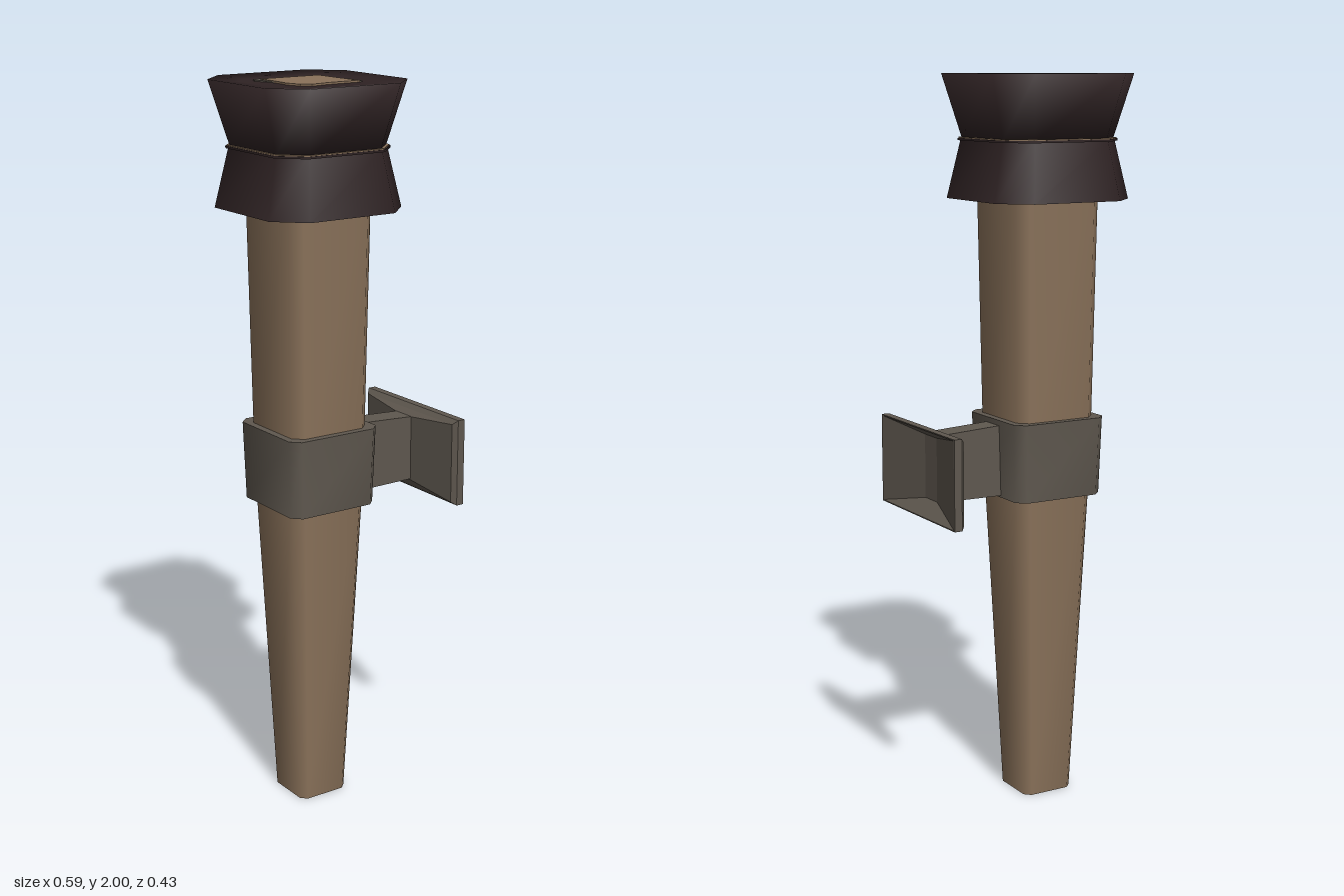
import * as THREE from 'three';
import { toCreasedNormals } from 'three/addons/utils/BufferGeometryUtils.js';

const CX = -0.08; // axis of the torch

// Skin through matching closed loops, with both ends capped
function loft(loops, crease) {
  const n = loops[0].length, index = [];
  const last = (loops.length - 1) * n;
  for (let s = 0; s < loops.length - 1; s++) {
    for (let i = 0; i < n; i++) {
      const j = (i + 1) % n, a = s * n, b = a + n;
      index.push(a + i, a + j, b + j, a + i, b + j, b + i);
    }
  }
  for (let i = 1; i < n - 1; i++) {
    index.push(0, i + 1, i, last, last + i, last + i + 1);
  }
  const geo = new THREE.BufferGeometry();
  geo.setAttribute('position', new THREE.Float32BufferAttribute(loops.flat(2), 3));
  geo.setIndex(index);
  return toCreasedNormals(geo, crease);
}

// Square with cut corners, lying level at height y
function octagon(y, h, cut) {
  const k = h - cut;
  return [[h, -k], [h, k], [k, h], [-k, h], [-h, k], [-h, -k], [-k, -h], [k, -h]]
    .map(([x, up]) => [CX + x, y, -up]);
}

// Upright rectangle facing +x
function rectX(x, y0, y1, hz) {
  return [[x, y1, -hz], [x, y1, hz], [x, y0, hz], [x, y0, -hz]];
}

// Thin level plate from [x, z] corners
function plate(points, y, thick) {
  const shape = new THREE.Shape(points.map(([x, z]) => new THREE.Vector2(x, -z)));
  const geo = new THREE.ExtrudeGeometry(shape, { depth: thick, bevelEnabled: false });
  return geo.rotateX(-Math.PI / 2).translate(0, y, 0);
}

export function createModel() {
  const group = new THREE.Group();
  const material = (name, color) => {
    const m = new THREE.MeshStandardMaterial({ color });
    m.name = name;
    return m;
  };
  const wood = material('wood', 0x8a725a);
  const iron = material('iron', 0x5f584f);
  const cloth = material('charred cloth', 0x2e2223);
  const add = (name, geo, mat) => {
    const mesh = new THREE.Mesh(geo, mat);
    mesh.name = name;
    group.add(mesh);
  };

  // Tapered wooden shaft
  add('shaft', loft([[0, 0.075], [0.95, 0.117], [1.75, 0.13]]
    .map(([y, h]) => octagon(y, h, h * 0.22)), 1), wood);

  // Wrapped head: two flared skirts meeting at a waist
  add('lowerWrap', loft([octagon(1.67, 0.15, 0.05), octagon(1.67, 0.206, 0.075),
    octagon(1.83, 0.172, 0.06)], 1), cloth);
  add('upperWrap', loft([octagon(1.83, 0.17, 0.06), octagon(2, 0.217, 0.08),
    octagon(1.993, 0.15, 0.05)], Math.PI), cloth);

  // Thin binding around the waist
  add('waistFold', loft([octagon(1.824, 0.179, 0.062), octagon(1.83, 0.179, 0.062)], 1), cloth);
  add('waistBinding', loft([octagon(1.83, 0.177, 0.062), octagon(1.833, 0.177, 0.062)], 1), wood);

  // Wooden core and ash showing at the top
  add('ash', plate([[-0.188, -0.085], [-0.178, -0.108], [-0.145, -0.108], [-0.13, -0.085],
    [-0.03, -0.09], [0.012, -0.1], [0.025, -0.07], [0.024, -0.03], [0.018, 0],
    [0.036, 0.02], [0.035, 0.08], [-0.02, 0.085], [-0.1, 0.08], [-0.16, 0]], 1.991, 0.005), iron);
  add('core', plate([[-0.167, -0.087], [0.013, -0.088], [0.016, 0], [0.018, 0.06], [0.025, 0.085],
    [-0.08, 0.09], [-0.135, 0.102], [-0.158, 0.085], [-0.172, 0.04], [-0.168, 0]], 1.991, 0.007), wood);

  // Iron band around the shaft
  add('band', loft([octagon(0.865, 0.134, 0.025), octagon(1.08, 0.14, 0.025)], 1), iron);

  // Arm reaching to the wall mount
  add('arm', loft([rectX(0.03, 0.87, 1.067, 0.035), rectX(0.25, 0.873, 1.055, 0.035)], 0.1), iron);

  // Flared wall mount with a hollow outer face
  add('wallMount', loft([
    rectX(0.24, 0.87, 1.055, 0.035),
    rectX(0.258, 0.845, 1.068, 0.197),
    rectX(0.27, 0.836, 1.08, 0.209),
    rectX(0.292, 0.836, 1.08, 0.209),
    rectX(0.292, 0.839, 1.077, 0.205),
    rectX(0.25, 0.875, 1.05, 0.033),
  ], 0.1), iron);

  return group;
}
